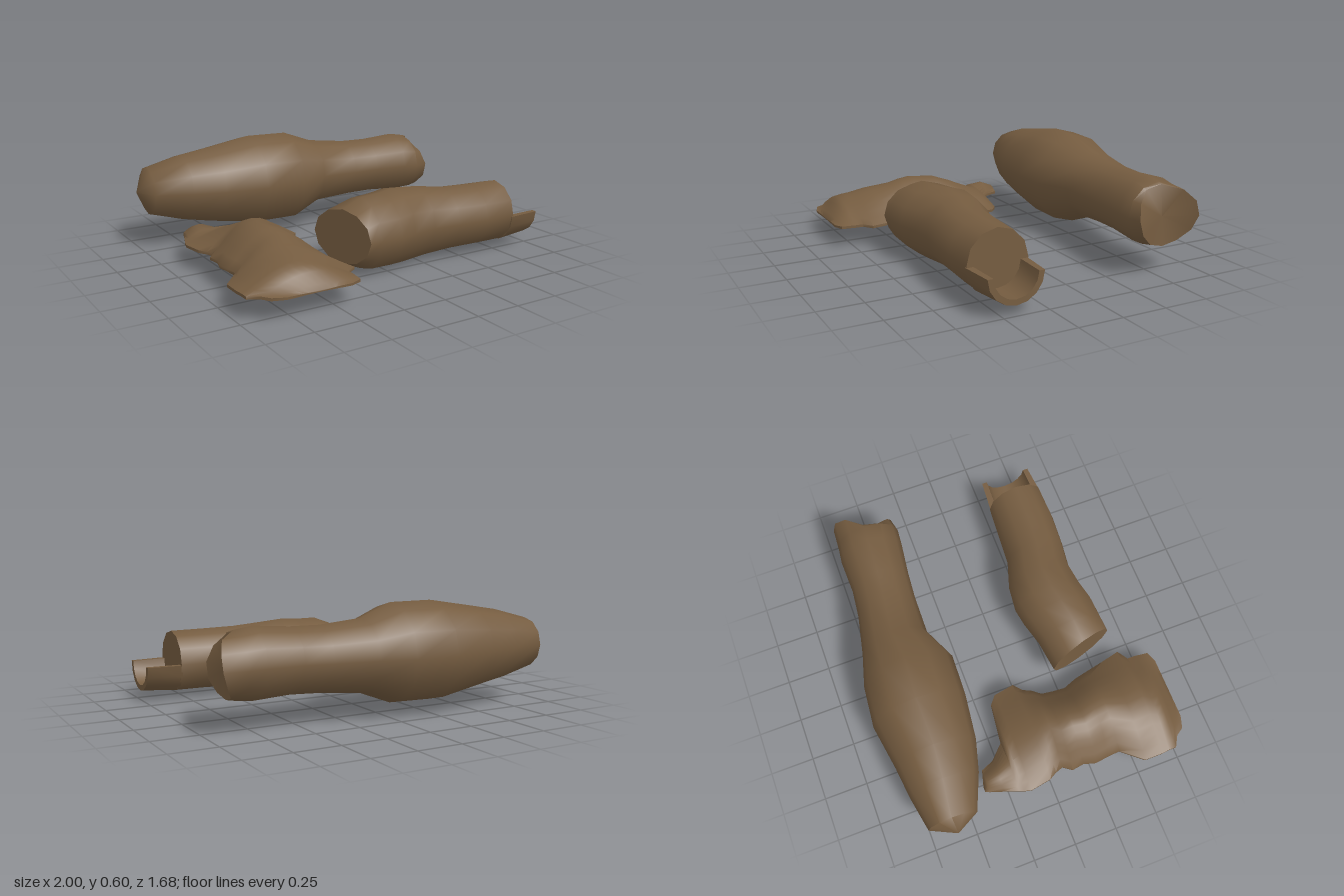
import * as THREE from 'three';
import { toCreasedNormals } from 'three/addons/utils/BufferGeometryUtils.js';

const SIDES = 12;
const clay = new THREE.MeshStandardMaterial({ color: 0x755c40 });
clay.name = 'brownClay';

// Skin closed loops of points into a solid with fan caps at both ends
function loft(name, rings, startCentre, endCentre, crease = 0.9) {
  const n = rings[0].length, last = (rings.length - 1) * n;
  const mean = (ring) => [0, 1, 2].map((k) => ring.reduce((s, p) => s + p[k], 0) / n);
  const pos = rings.flat(2), index = [];
  pos.push(...(startCentre || mean(rings[0])), ...(endCentre || mean(rings[rings.length - 1])));
  const c0 = rings.length * n, c1 = c0 + 1;
  for (let j = 0; j < n; j++) {
    const k = (j + 1) % n;
    for (let i = 0; i < rings.length - 1; i++) {
      const a = i * n + j, b = i * n + k;
      index.push(a, b, a + n, b, b + n, a + n);
    }
    index.push(c0, k, j, c1, last + j, last + k);
  }
  const geo = new THREE.BufferGeometry();
  geo.setAttribute('position', new THREE.Float32BufferAttribute(pos, 3));
  geo.setIndex(index);
  const mesh = new THREE.Mesh(toCreasedNormals(geo, crease), clay);
  mesh.name = name;
  return mesh;
}

// Ring around the x axis; xAt gives the position along the axis per corner
function ring(xAt, y, z, ry, rz) {
  return Array.from({ length: SIDES }, (_, j) => {
    const a = (j / SIDES) * Math.PI * 2;
    return [xAt(j, a), y + ry * Math.cos(a), z + rz * Math.sin(a)];
  });
}

// Rows of [x, y min, y max, z min, z max] become rings
const ringsFrom = (rows) => rows.map(([x, y0, y1, z0, z1]) =>
  ring(() => x, (y0 + y1) / 2, (z0 + z1) / 2, (y1 - y0) / 2, (z1 - z0) / 2));

function largeJar() {
  const rings = ringsFrom([
    [-0.93, 0.2, 0.48, -0.745, -0.468],
    [-0.73, 0.145, 0.535, -0.782, -0.385],
    [-0.55, 0.11, 0.565, -0.803, -0.335],
    [-0.29, 0.065, 0.607, -0.845, -0.302],
    [-0.05, 0.068, 0.605, -0.822, -0.293],
    [0.14, 0.14, 0.535, -0.77, -0.38],
    [0.37, 0.16, 0.51, -0.722, -0.375],
    [0.53, 0.165, 0.51, -0.705, -0.362],
    [0.73, 0.152, 0.525, -0.71, -0.337],
    [0.82, 0.16, 0.51, -0.7, -0.33],
  ]);
  // broken, uneven mouth
  const lip = [0.84, 0.83, 0.87, 0.9, 0.9, 0.88, 0.87, 0.88, 0.92, 0.95, 0.95, 0.92];
  rings.push(ring((j) => lip[j], 0.335, -0.52, 0.165, 0.172));
  return loft('largeJar', rings, [-1, 0.34, -0.6], [0.86, 0.33, -0.52]);
}

function smallJar() {
  const group = new THREE.Group();
  group.name = 'smallJar';
  // slanted broken base, then the body up to the neck
  const base = ring((j, a) => -0.245 + 0.055 * Math.sin(a), 0.225, 0.432, 0.15, 0.193);
  const body = ringsFrom([
    [-0.12, 0.022, 0.42, 0.217, 0.622],
    [0.02, 0.015, 0.422, 0.18, 0.615],
    [0.12, 0.008, 0.432, 0.163, 0.59],
    [0.27, 0.02, 0.42, 0.18, 0.57],
    [0.43, 0.042, 0.402, 0.232, 0.59],
    [0.62, 0.045, 0.397, 0.245, 0.604],
    [0.81, 0.045, 0.395, 0.26, 0.6],
  ]);
  group.add(loft('smallJarBody', [base, ...body]));

  // lower half of the broken neck, left standing as a trough
  const sections = [];
  for (let i = 0; i <= 8; i++) {
    const a = Math.PI * (0.5 + i / 8);
    const at = (x, r) => [x, 0.215 + r * Math.cos(a), 0.433 + r * Math.sin(a)];
    sections.push([at(1, 0.153), at(0.8, 0.17), at(0.8, 0.13), at(1, 0.122)]);
  }
  group.add(loft('smallJarNeck', sections));
  return group;
}

// Curved shard lying flat: rows of [z, left edge x, right edge x, height]
function shard() {
  const rows = [
    [-0.38, -0.81, -0.78, 0.005], [-0.355, -0.82, -0.69, 0.045],
    [-0.28, -0.845, -0.66, 0.075], [-0.2, -0.875, -0.58, 0.07],
    [-0.172, -0.885, -0.35, 0.075], [-0.13, -0.895, -0.3, 0.09],
    [-0.01, -0.875, -0.28, 0.14], [0.035, -0.85, -0.33, 0.16],
    [0.08, -0.835, -0.35, 0.175], [0.13, -0.87, -0.39, 0.19],
    [0.2, -0.86, -0.4, 0.195], [0.27, -0.88, -0.405, 0.2],
    [0.35, -0.87, -0.375, 0.195], [0.42, -0.865, -0.36, 0.18],
    [0.54, -0.965, -0.335, 0.155], [0.65, -0.965, -0.31, 0.135],
    [0.69, -0.96, -0.37, 0.125], [0.735, -0.96, -0.37, 0.115],
    [0.77, -0.9, -0.375, 0.085], [0.815, -0.87, -0.38, 0.035],
    [0.838, -0.8, -0.44, 0.012],
  ];
  const N = 12;
  const sections = rows.map(([z, x0, x1, h]) => {
    const loop = [];
    const lip = Math.min(0.015, h);
    // outer surface from right to left
    for (let i = 0; i <= N; i++) {
      const u = i / N;
      const y = 0.12 + lip + (h - lip) * Math.sin(Math.PI * u) ** 1.1;
      loop.push([x1 + (x0 - x1) * u, y, z]);
    }
    // shallow hollow underside from left to right
    for (let i = 0; i <= N; i++) {
      const u = i / N;
      loop.push([x0 + (x1 - x0) * u, 0.12 + 0.3 * h * Math.sin(Math.PI * u) ** 1.5, z]);
    }
    return loop;
  });
  return loft('shard', sections);
}

export function createModel() {
  const group = new THREE.Group();
  group.name = 'brokenJars';
  group.add(largeJar(), smallJar(), shard());
  return group;
}
